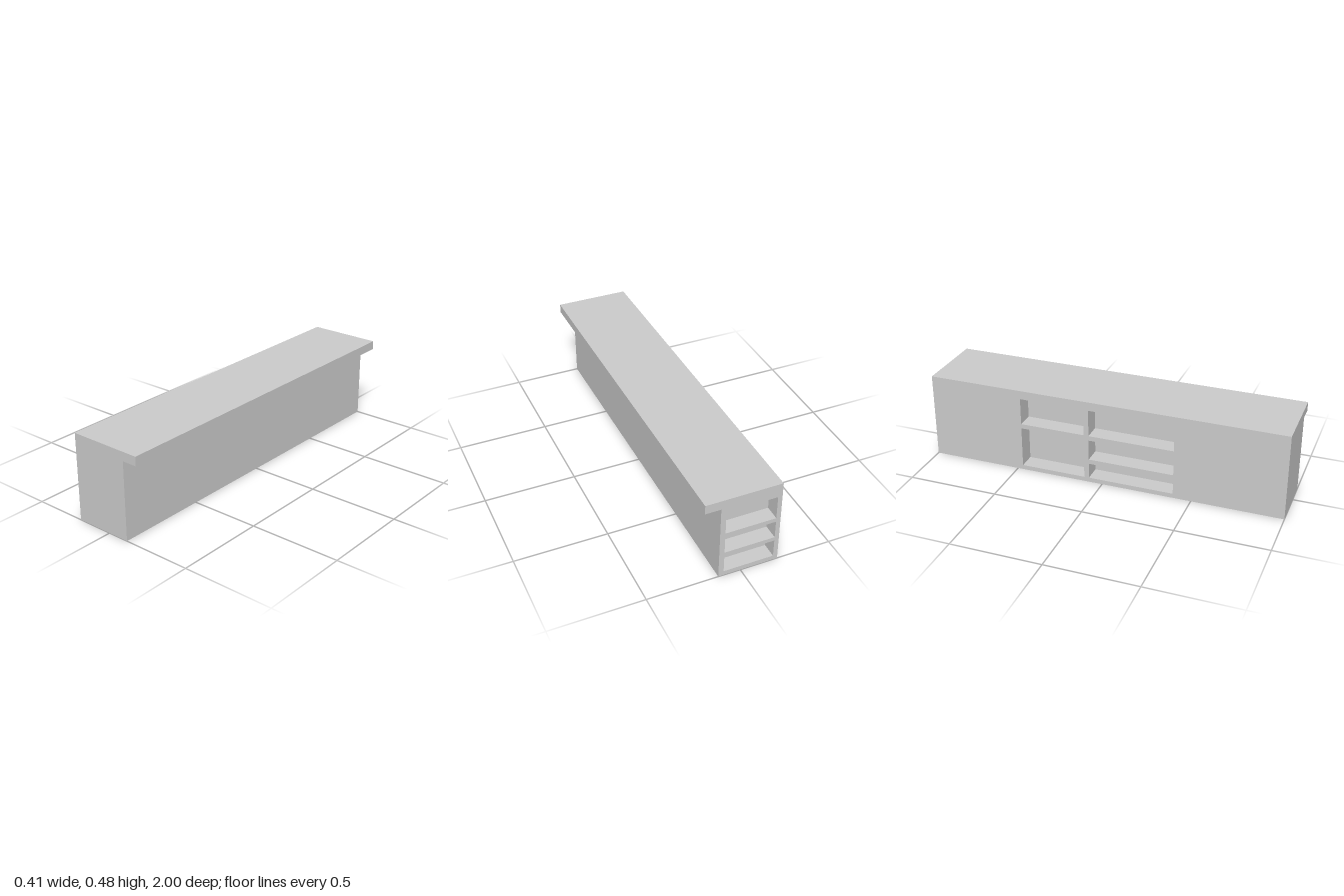
import * as THREE from 'three';

const LEFT = -0.204, RIGHT = 0.204, BODY = 0.12; // x of back wall, ledge edge, front wall
const TOP = 0.48, LEDGE = 0.43, HALF = 1;        // heights and half length

const material = new THREE.MeshStandardMaterial({ color: 0xcccccc, side: THREE.DoubleSide });

function addMesh(parent, name, geometry) {
  const mesh = new THREE.Mesh(geometry, material);
  mesh.name = name;
  parent.add(mesh);
  return mesh;
}

// Flat sheet with rectangular openings [u0, v0, u1, v1], each backed by a recessed compartment
function cabinetWall(name, outline, openings = [], depth = 0) {
  const group = new THREE.Group();
  group.name = name;
  const shape = new THREE.Shape(outline.map(([u, v]) => new THREE.Vector2(u, v)));
  for (const [u0, v0, u1, v1] of openings) {
    shape.holes.push(new THREE.Path([[u0, v0], [u0, v1], [u1, v1], [u1, v0]]
      .map(([u, v]) => new THREE.Vector2(u, v))));
    // Box without its front face
    const box = new THREE.BoxGeometry(u1 - u0, v1 - v0, depth);
    const index = Array.from(box.index.array);
    index.splice(24, 6);
    box.setIndex(index);
    box.clearGroups();
    addMesh(group, 'shelfCompartment', box).position.set((u0 + u1) / 2, (v0 + v1) / 2, -depth / 2);
  }
  addMesh(group, name + 'Panel', new THREE.ShapeGeometry(shape));
  return group;
}

// Rectangular sheet running the full length of the counter, between two points of the section
function longPanel(parent, name, x0, y0, x1, y1) {
  const mesh = addMesh(parent, name, new THREE.PlaneGeometry(Math.hypot(x1 - x0, y1 - y0), 2 * HALF));
  mesh.geometry.rotateX(-Math.PI / 2);
  mesh.rotation.z = Math.atan2(y1 - y0, x1 - x0);
  mesh.position.set((x0 + x1) / 2, (y0 + y1) / 2, 0);
}

export function createModel() {
  const model = new THREE.Group();
  model.name = 'counter';

  // Counter top, ledge and customer-side wall; the underside stays open
  longPanel(model, 'counterTop', LEFT, TOP, RIGHT, TOP);
  longPanel(model, 'ledgeEdge', RIGHT, TOP, RIGHT, LEDGE);
  longPanel(model, 'ledgeUnderside', RIGHT, LEDGE, BODY, LEDGE);
  longPanel(model, 'customerWall', BODY, LEDGE, BODY, 0);

  // Plain end
  const section = [[LEFT, 0], [BODY, 0], [BODY, LEDGE], [RIGHT, LEDGE], [RIGHT, TOP], [LEFT, TOP]];
  const plainEnd = cabinetWall('plainEnd', section);
  plainEnd.position.z = HALF;
  model.add(plainEnd);

  // End with three stacked compartments
  const endRows = [[0.025, 0.126], [0.148, 0.248], [0.271, 0.403]];
  const shelfEnd = cabinetWall('shelfEnd', section.map(([x, y]) => [-x, y]).reverse(),
    endRows.map(([y0, y1]) => [-0.092, y0, 0.18, y1]), 0.083);
  shelfEnd.rotation.y = Math.PI;
  shelfEnd.position.z = -HALF;
  model.add(shelfEnd);

  // Staff-side wall with a two-row and a three-row column of compartments
  const columns = [
    { z: [-0.469, -0.103], rows: [[0.025, 0.255], [0.281, 0.432]] },
    { z: [-0.076, 0.4], rows: [[0.025, 0.112], [0.138, 0.254], [0.281, 0.432]] },
  ];
  const openings = columns.flatMap(({ z, rows }) => rows.map(([y0, y1]) => [z[0], y0, z[1], y1]));
  const staffWall = cabinetWall('staffWall',
    [[-HALF, 0], [HALF, 0], [HALF, TOP], [-HALF, TOP]], openings, 0.097);
  staffWall.rotation.y = -Math.PI / 2;
  staffWall.position.x = LEFT;
  model.add(staffWall);

  return model;
}
